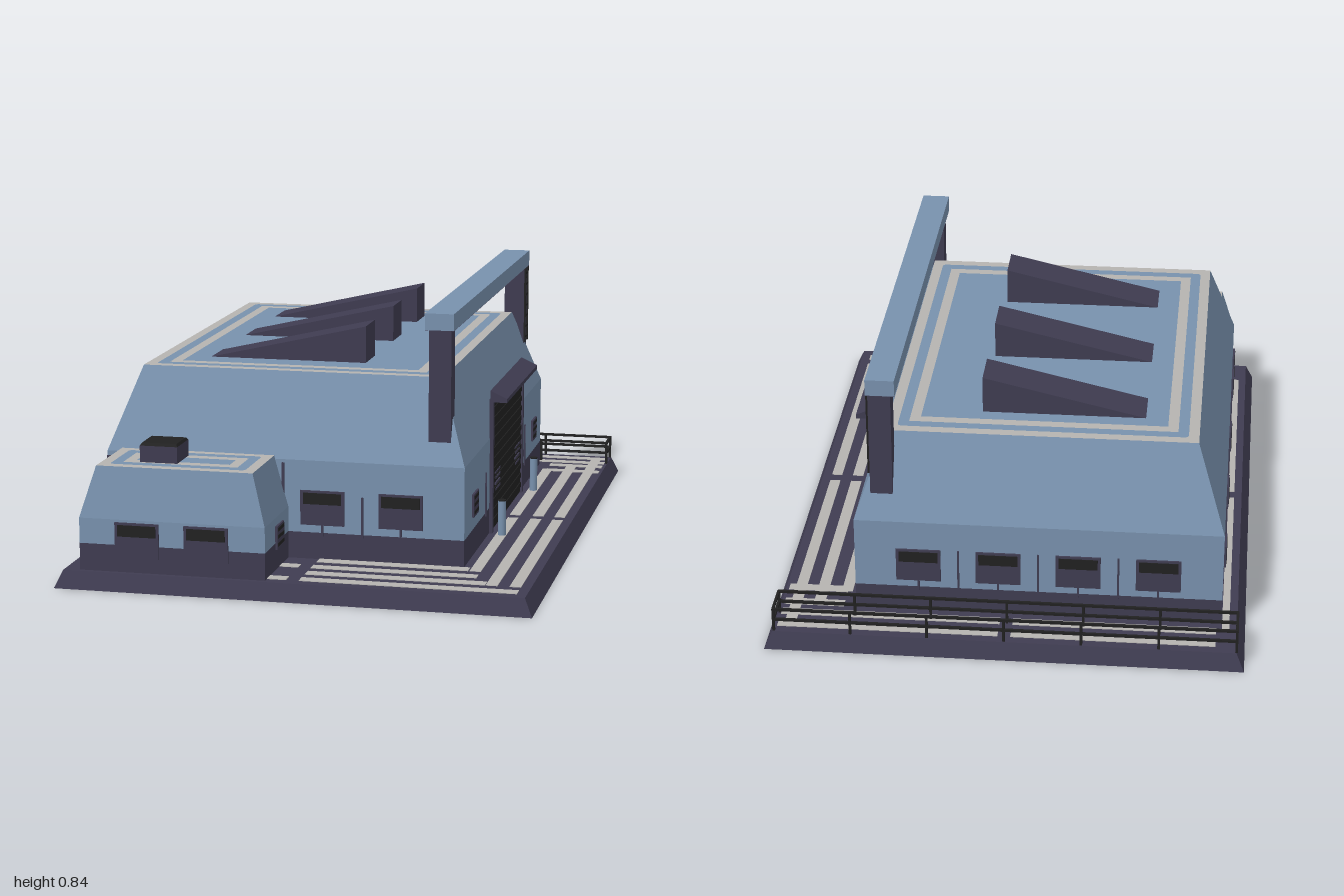
import * as THREE from 'three';

export function createModel() {
  const root = new THREE.Group();
  const mat = (name, color, side = THREE.FrontSide) => {
    const m = new THREE.MeshStandardMaterial({ color, side });
    m.name = name;
    return m;
  };
  const blue = mat('steel blue', 0x7891ad);
  const purple = mat('dark violet grey', 0x3f3c51, THREE.DoubleSide); // the slab is open below
  const black = mat('near black', 0x212121);
  const tan = mat('pale grey', 0xb5b3b0);

  const add = (name, geo, m) => {
    const mesh = new THREE.Mesh(geo, m);
    mesh.name = name;
    root.add(mesh);
    return mesh;
  };
  // Box given by its limits on each axis
  const box = (name, m, x0, x1, y0, y1, z0, z1) => {
    const g = new THREE.BoxGeometry(x1 - x0, y1 - y0, z1 - z0);
    g.translate((x0 + x1) / 2, (y0 + y1) / 2, (z0 + z1) / 2);
    return add(name, g, m);
  };
  // Block between two rectangles [x0, x1, z0, z1], keeping only the listed faces
  // (0 right, 1 left, 2 top, 3 bottom, 4 front, 5 back)
  const SIDES = [0, 1, 4, 5];
  const taper = (name, m, y0, y1, b, t, faces) => {
    const g = new THREE.BoxGeometry(1, 1, 1);
    const p = g.attributes.position;
    for (let i = 0; i < p.count; i++) {
      const top = p.getY(i) > 0, r = top ? t : b;
      p.setXYZ(i, p.getX(i) < 0 ? r[0] : r[1], top ? y1 : y0, p.getZ(i) < 0 ? r[2] : r[3]);
    }
    const idx = Array.from(g.index.array);
    g.setIndex(faces.flatMap(f => idx.slice(f * 6, f * 6 + 6)));
    g.clearGroups();
    g.computeVertexNormals();
    return add(name, g, m);
  };

  // Ground slab: sloped rim and deck, hollow underneath
  taper('baseSlab', purple, 0, 0.055, [-0.745, 0.745, -1, 1], [-0.72, 0.72, -0.98, 0.98], [...SIDES, 2]);

  // Pale ground markings, broken at the centre lines
  const mark = (x0, x1, z0, z1) => taper('groundStripe', tan, 0.055, 0.057, [x0, x1, z0, z1], [x0, x1, z0, z1], [...SIDES, 2]);
  const front = [[0.68, 0.72, 0.5], [0.757, 0.795, 0.54], [0.83, 0.87, 0.58], [0.905, 0.945, 0.69]];
  front.forEach(([z0, z1, x1]) => mark(0.02, x1, z0, z1));
  mark(-0.08, -0.02, 0.905, 0.945);
  mark(-0.08, -0.02, 0.757, 0.795);
  [[0.505, 0.54, -0.73, 0.72], [0.582, 0.618, -0.8, 0.87], [0.655, 0.69, -0.95, 0.87]].forEach(([x0, x1, z0, z1]) => {
    mark(x0, x1, z0, -0.02);
    mark(x0, x1, 0.02, z1);
  });
  [[-0.95, -0.915], [-0.88, -0.845]].forEach(([z0, z1]) => {
    mark(-0.655, -0.02, z0, z1);
    mark(0.02, 0.71, z0, z1);
  });
  [-0.82, -0.735].forEach(z => mark(0.52, 0.71, z, z + 0.035));
  mark(-0.695, -0.672, -0.86, -0.02);
  mark(-0.695, -0.672, 0.02, 0.86);

  // Main hall shell
  const hall = [-0.67, 0.48, -0.815, 0.68];
  taper('hallPlinth', purple, 0.055, 0.14, hall, hall, SIDES);
  taper('hallWalls', blue, 0.14, 0.37, hall, hall, SIDES);
  taper('hallRoofSlopes', blue, 0.37, 0.63, hall, [-0.58, 0.39, -0.7, 0.57], SIDES);

  // Front annex shell, open towards the hall
  const annex = [-0.67, -0.08, 0.67, 0.965];
  taper('annexPlinth', purple, 0.055, 0.14, annex, annex, [0, 1, 4]);
  taper('annexWalls', blue, 0.14, 0.22, annex, annex, [0, 1, 4]);
  taper('annexRoofSlopes', blue, 0.22, 0.38, annex, [-0.622, -0.125, 0.67, 0.935], [0, 1, 4]);

  // Flat roof made of rings, alternating pale and blue
  const rect = (Type, x0, x1, z0, z1, d, r) => {
    const s = new Type(), a = x0 + d, b = x1 - d, c = -z1 + d, e = -z0 - d;
    s.moveTo(a + r, c).lineTo(b - r, c).quadraticCurveTo(b, c, b, c + r);
    s.lineTo(b, e - r).quadraticCurveTo(b, e, b - r, e);
    s.lineTo(a + r, e).quadraticCurveTo(a, e, a, e - r);
    s.lineTo(a, c + r).quadraticCurveTo(a, c, a + r, c);
    return s;
  };
  const roof = (name, y, x0, x1, z0, z1) => {
    const step = 0.033, radius = [0.0005, 0.015, 0.0005, 0.0005];
    for (let i = 0; i < 4; i++) {
      const s = rect(THREE.Shape, x0, x1, z0, z1, i * step, radius[i]);
      if (i < 3) s.holes.push(rect(THREE.Path, x0, x1, z0, z1, (i + 1) * step, radius[i + 1]));
      add(name, new THREE.ShapeGeometry(s, 4).rotateX(-Math.PI / 2).translate(0, y, 0), i % 2 ? blue : tan);
    }
  };
  roof('hallRoof', 0.63, -0.58, 0.39, -0.7, 0.57);
  roof('annexRoof', 0.38, -0.622, -0.125, 0.67, 0.935);

  // Wedge skylights
  const tri = new THREE.Shape([[-0.41, 0.63], [0.102, 0.63], [0.102, 0.748]].map(p => new THREE.Vector2(...p)));
  [-0.552, -0.162, 0.252].forEach(z => {
    const g = new THREE.ExtrudeGeometry(tri, { depth: 0.135, bevelEnabled: false });
    add('roofWedge', g.translate(0, 0, z), purple);
  });

  // Annex roof vent
  box('roofVent', purple, -0.505, -0.385, 0.38, 0.432, 0.74, 0.86);
  taper('roofVentCap', black, 0.432, 0.44, [-0.505, -0.385, 0.74, 0.86], [-0.5, -0.39, 0.75, 0.85], [0, 1, 2, 4, 5]);

  // Gantry with dark underside, hoist and ladder
  const beam = [0.347, 0.437, -0.782, 0.65];
  taper('gantryBeam', blue, 0.79, 0.842, beam, beam, [...SIDES, 2]);
  taper('gantryUnderside', purple, 0.789, 0.79, beam, beam, [3]);
  box('gantryColumn', purple, 0.36, 0.43, 0.43, 0.79, 0.59, 0.65);
  box('gantryColumn', purple, 0.36, 0.43, 0.43, 0.79, -0.78, -0.72);
  box('hoist', black, 0.38, 0.4, 0.767, 0.789, -0.105, -0.025);
  [-0.78, -0.726].forEach(z => box('ladderRail', black, 0.43, 0.436, 0.52, 0.79, z, z + 0.006));
  for (let i = 0; i < 7; i++) {
    const y = 0.535 + i * 0.038;
    box('ladderRung', black, 0.43, 0.436, y, y + 0.007, -0.78, -0.72);
  }

  // Roller door with frame, ribs, louvres and canopy
  box('doorPanel', black, 0.478, 0.484, 0.058, 0.49, -0.355, 0.222);
  for (let i = 0; i < 12; i++) {
    const y = 0.075 + i * 0.034;
    box('doorRib', black, 0.482, 0.487, y, y + 0.017, -0.355, 0.222);
  }
  box('doorPost', purple, 0.478, 0.491, 0.055, 0.5, 0.22, 0.24);
  box('doorPost', purple, 0.478, 0.491, 0.055, 0.5, -0.37, -0.35);
  [[0.08, 0.168], [-0.305, -0.218]].forEach(([z0, z1]) => {
    for (let i = 0; i < 4; i++) {
      const y = 0.182 + i * 0.019;
      box('doorLouvre', purple, 0.482, 0.489, y, y + 0.007, z0, z1);
    }
  });
  const canopy = new THREE.Shape([[0.48, 0.49], [0.535, 0.49], [0.535, 0.503], [0.48, 0.528]]
    .map(p => new THREE.Vector2(...p)));
  add('doorCanopy', new THREE.ExtrudeGeometry(canopy, { depth: 0.612, bevelEnabled: false }).translate(0, 0, -0.372), purple);

  // Bollards beside the door
  [0.255, -0.388].forEach(z => {
    add('bollard', new THREE.CylinderGeometry(0.013, 0.013, 0.115, 12).translate(0.525, 0.1125, z), blue);
    add('bollardCap', new THREE.CylinderGeometry(0.013, 0.013, 0.004, 12).translate(0.525, 0.172, z), black);
  });

  // Wide windows on the front and back: panel with a dark slot
  const wideWindow = (x, y, z, dir) => {
    const plate = (name, m, w, y0, y1, t) =>
      box(name, m, x - w, x + w, y0, y1, Math.min(z, z + dir * t), Math.max(z, z + dir * t));
    plate('windowPanel', purple, 0.07, y - 0.11, y, 0.006);
    plate('windowSlot', black, 0.061, y - 0.043, y - 0.007, 0.008);
    plate('windowDrain', purple, 0.003, 0.13, y - 0.1, 0.005);
  };
  [0.03, 0.28].forEach(x => wideWindow(x, 0.275, 0.68, 1));
  [-0.485, -0.265].forEach(x => wideWindow(x, 0.212, 0.965, 1));
  [-0.47, -0.22, 0.03, 0.28].forEach(x => wideWindow(x, 0.275, -0.815, -1));

  // Small slatted vents on the sides
  const sideVent = (x, y, z, dir) => {
    const plate = (name, m, w, y0, y1, t) =>
      box(name, m, Math.min(x, x + dir * t), Math.max(x, x + dir * t), y0, y1, z - w, z + w);
    plate('ventFrame', purple, 0.042, y - 0.037, y + 0.037, 0.007);
    [-0.028, -0.003, 0.02].forEach(d => plate('ventSlot', black, 0.036, y + d, y + d + 0.011, 0.0085));
  };
  [-0.645, 0.51].forEach(z => sideVent(0.48, 0.22, z, 1));
  [-0.645, -0.265, 0.115, 0.51].forEach(z => sideVent(-0.67, 0.22, z, -1));
  sideVent(-0.08, 0.157, 0.8, 1);
  sideVent(-0.67, 0.157, 0.8, -1);

  // Thin wall seams
  [0.155, -0.095, -0.345].forEach(x => box('wallSeam', purple, x - 0.003, x + 0.003, 0.13, 0.275, -0.82, -0.81));
  [0.315, -0.45].forEach(z => box('wallSeam', purple, 0.475, 0.485, 0.13, 0.275, z - 0.003, z + 0.003));
  [-0.455, -0.075, 0.315].forEach(z => box('wallSeam', purple, -0.675, -0.665, 0.13, 0.275, z - 0.003, z + 0.003));
  box('wallSeam', purple, -0.1, -0.092, 0.055, 0.36, 0.675, 0.685);
  box('wallSeam', purple, -0.67, -0.648, 0.2, 0.355, 0.675, 0.685);
  box('wallSeam', purple, 0.155, 0.161, 0.13, 0.26, 0.675, 0.685);

  // Guard rail around the rear walkway
  const t = 0.004;
  for (const y of [0.095, 0.131]) {
    for (const z of [-0.974, -0.868]) box('guardRail', black, -0.722, 0.718, y - t, y + t, z - t, z + t);
    for (const x of [-0.72, 0.716]) box('guardRail', black, x - t, x + t, y - t, y + t, -0.974, -0.868);
  }
  for (let i = 0; i < 7; i++) {
    const x = -0.72 + i * 1.436 / 6;
    for (const z of [-0.974, -0.868]) box('railPost', black, x - t, x + t, 0.055, 0.133, z - t, z + t);
  }
  return root;
}
